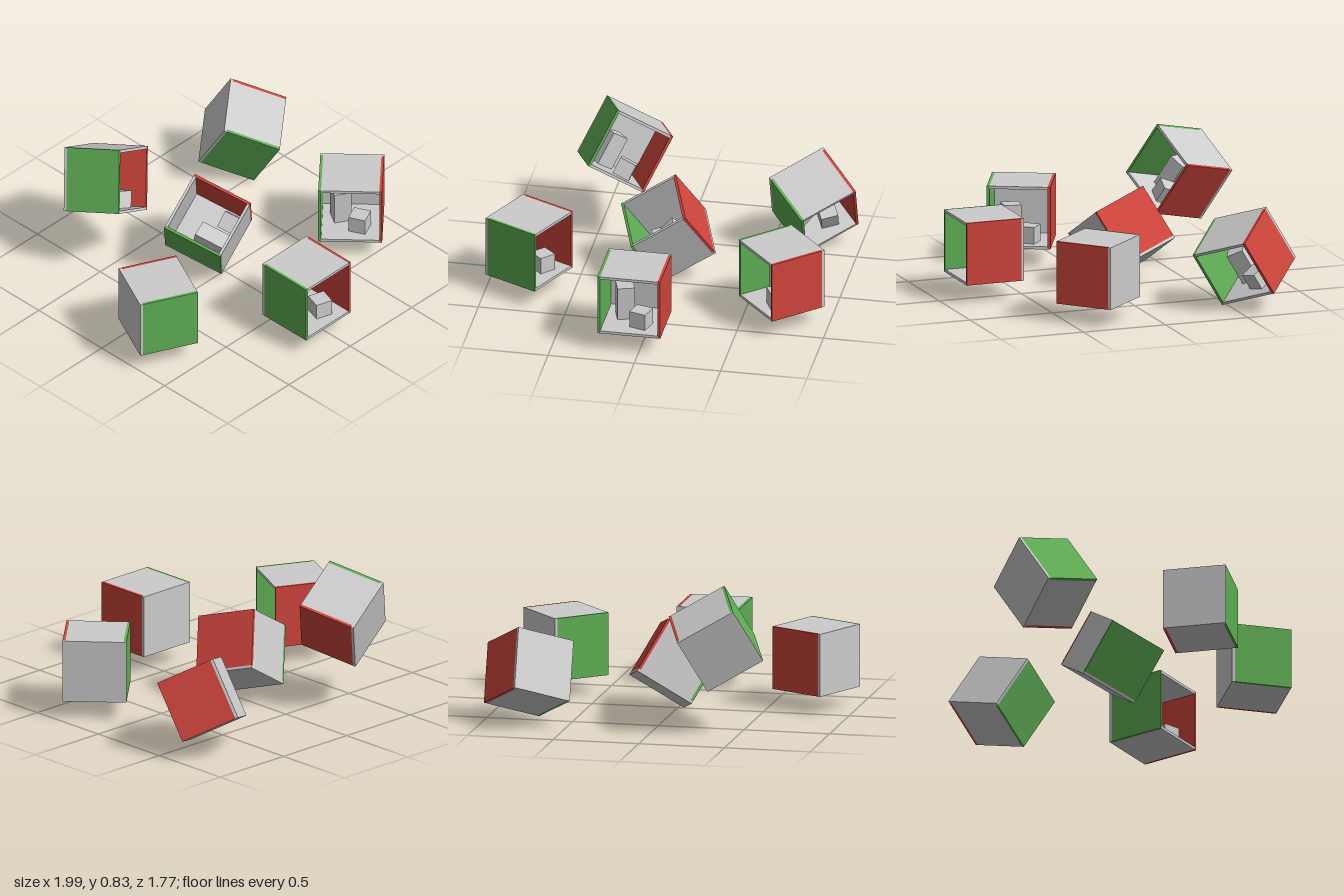
import * as THREE from 'three';

const W = 0.364, H = 0.364, D = 0.348, T = 0.016; // room size and wall thickness

const grey = new THREE.MeshStandardMaterial({ color: 0xcccccc });
const red = new THREE.MeshStandardMaterial({ color: 0xd0453c });
const green = new THREE.MeshStandardMaterial({ color: 0x5fae55 });

function box(parent, name, material, size, position, yaw = 0) {
  const mesh = new THREE.Mesh(new THREE.BoxGeometry(...size), material);
  mesh.name = name;
  mesh.position.set(...position);
  mesh.rotation.y = THREE.MathUtils.degToRad(yaw);
  parent.add(mesh);
}

// Open-fronted room with two coloured side walls and two blocks on its floor
function createRoom() {
  const room = new THREE.Group();
  const depth = D - T, inner = W - 2 * T, floorY = -H / 2 + T;

  // Shell: the back panel covers the full outline, the rest stands in front of it
  box(room, 'backWall', grey, [W, H, T], [0, 0, -D / 2 + T / 2]);
  box(room, 'leftWall', red, [T, H, depth], [W / 2 - T / 2, 0, T / 2]);
  box(room, 'rightWall', green, [T, H, depth], [-W / 2 + T / 2, 0, T / 2]);
  box(room, 'floor', grey, [inner, T, depth], [0, -H / 2 + T / 2, T / 2]);
  box(room, 'ceiling', grey, [inner, T, depth], [0, H / 2 - T / 2, T / 2]);

  // Blocks turned opposite ways
  box(room, 'tallBlock', grey, [0.1, 0.198, 0.1], [-0.0615, floorY + 0.099, -0.04], 17);
  box(room, 'shortBlock', grey, [0.1, 0.098, 0.1], [0.05, floorY + 0.049, 0.06], -17);
  return room;
}

// Centre of each room and the directions of its own x and y axes
const placements = [
  { name: 'frontRoom', at: [-0.055, 0.292, 0.706], x: [1, 0, 0], y: [0, 1, 0] },
  { name: 'rightRoom', at: [-0.76, 0.292, 0.215], x: [0.436, 0, -0.9], y: [0, 1, 0] },
  { name: 'leftRoom', at: [0.721, 0.292, 0.305], x: [0.672, 0, 0.74], y: [0, 1, 0] },
  { name: 'upperTumbledRoom', at: [-0.358, 0.545, -0.594], x: [0.846, -0.494, -0.199], y: [0.383, 0.847, -0.369] },
  { name: 'middleTumbledRoom', at: [-0.016, 0.287, -0.115], x: [0.84, 0.52, -0.152], y: [-0.324, 0.27, -0.906] },
  { name: 'backTumbledRoom', at: [0.738, 0.298, -0.577], x: [0.75, 0.305, -0.587], y: [0.044, 0.853, 0.52] },
];

export function createModel() {
  const model = new THREE.Group();
  model.name = 'scatteredRooms';
  for (const p of placements) {
    const room = createRoom();
    room.name = p.name;
    room.position.set(...p.at);
    const x = new THREE.Vector3(...p.x).normalize();
    const z = x.clone().cross(new THREE.Vector3(...p.y)).normalize();
    const y = z.clone().cross(x);
    room.quaternion.setFromRotationMatrix(new THREE.Matrix4().makeBasis(x, y, z));
    model.add(room);
  }
  return model;
}
